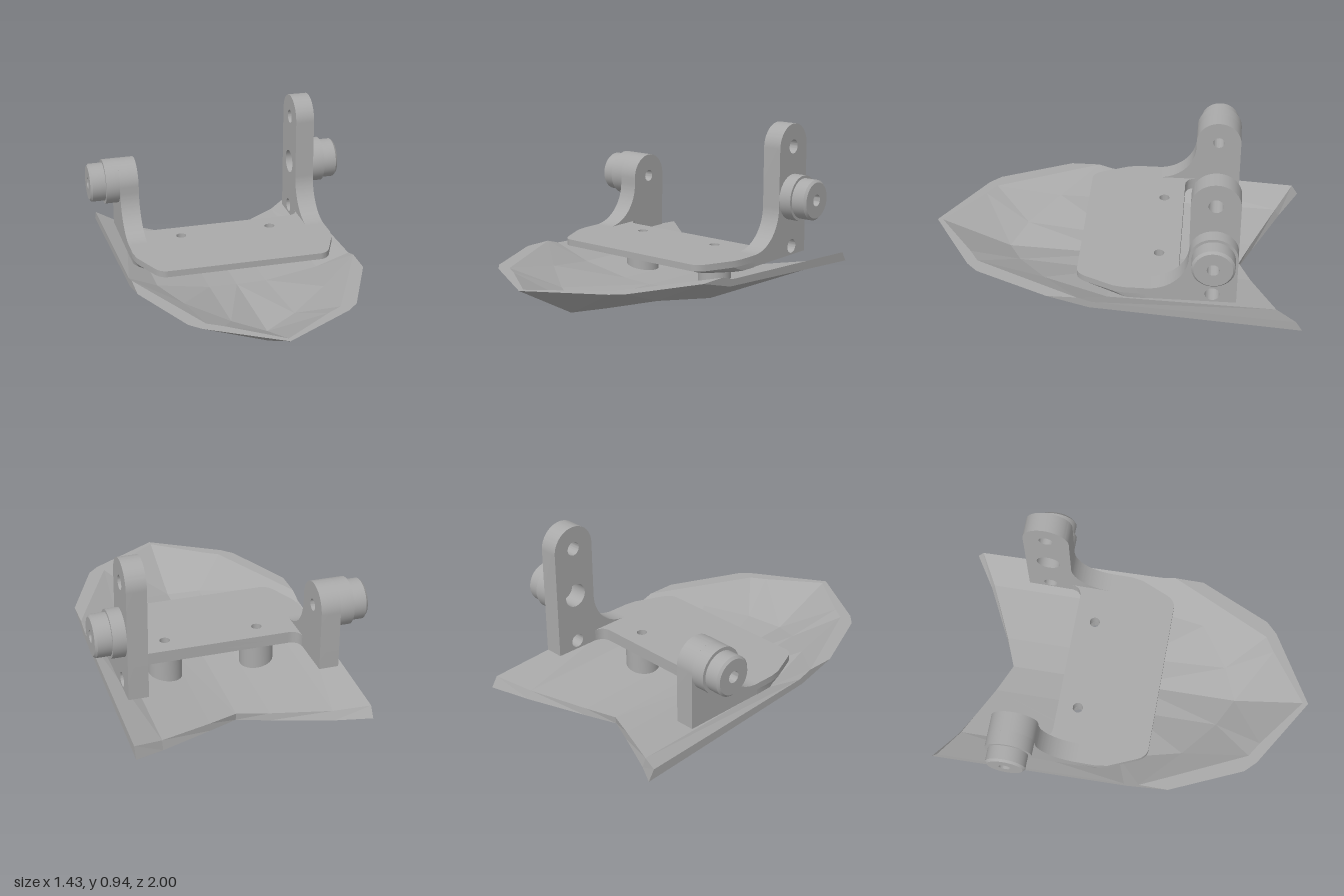
import * as THREE from 'three';
import { toCreasedNormals } from 'three/addons/utils/BufferGeometryUtils.js';

const grey = new THREE.MeshStandardMaterial({ color: 0xa9a9a9 });
grey.name = 'grey';

const HOLE_X = 0.255, HOLE_Z = -0.24;

function addMesh(parent, name, geometry) {
  const mesh = new THREE.Mesh(toCreasedNormals(geometry, 0.5), grey);
  mesh.name = name;
  parent.add(mesh);
  return mesh;
}

function circle(x, y, r) {
  return new THREE.Path().absarc(x, y, r, 0, Math.PI * 2, true);
}

// Faceted dish: rows run back to front, columns from keel to side edge
const OUTER = [
  [[0, 0, -0.665], [0.16, 0.012, -0.74], [0.45, 0.05, -0.89], [0.615, 0.10, -1]],
  [[0, 0.022, 0], [0.16, 0.035, 0.03], [0.45, 0.078, 0.05], [0.615, 0.18, 0.1]],
  [[0, 0.045, 0.63], [0.18, 0.085, 0.55], [0.4, 0.135, 0.42], [0.615, 0.24, 0.32]],
  [[0, 0.24, 1], [0.38, 0.24, 0.77], [0.44, 0.24, 0.71], [0.57, 0.24, 0.42]],
];
const INNER = [
  [[0, 0.04, -0.67], [0.16, 0.052, -0.735], [0.45, 0.095, -0.87], [0.615, 0.155, -0.965]],
  [[0, 0.062, 0], [0.16, 0.075, 0.02], [0.45, 0.122, 0.02], [0.615, 0.215, 0.08]],
  [[0, 0.085, 0.6], [0.17, 0.125, 0.52], [0.38, 0.175, 0.36], [0.615, 0.24, 0.16]],
  [[0, 0.24, 0.97], [0.27, 0.24, 0.77], [0.35, 0.24, 0.72], [0.54, 0.24, 0.32]],
];

function shellGeometry() {
  const pos = [];
  const tri = (a, b, c) => {
    pos.push(...a, ...b, ...c);
    for (const p of [a, c, b]) pos.push(-p[0], p[1], p[2]); // mirrored half
  };
  const quad = (a, b, c, d) => { tri(a, b, c); tri(a, c, d); };

  // Cell pierced by a round bolt hole; returns the rim of the hole
  const piercedCell = (a, b, c, d, up) => {
    const V = (p) => new THREE.Vector3(...p);
    const plane = new THREE.Plane().setFromCoplanarPoints(V(a), V(b), V(d));
    const n = plane.normal;
    const rim = [];
    for (let i = 0; i < 24; i++) {
      const t = (i / 24) * Math.PI * 2;
      const x = HOLE_X + 0.07 * Math.cos(t), z = HOLE_Z + 0.07 * Math.sin(t);
      rim.push([x, -(plane.constant + n.x * x + n.z * z) / n.y, z]);
    }
    const flat = (list) => list.map((p) => new THREE.Vector2(p[0], p[2]));
    const all = [a, b, c, d, ...rim];
    for (const f of THREE.ShapeUtils.triangulateShape(flat([a, b, c, d]), [flat(rim)])) {
      const [p, q, r] = f.map((i) => all[i]);
      const ny = (q[2] - p[2]) * (r[0] - p[0]) - (q[0] - p[0]) * (r[2] - p[2]);
      if ((ny > 0) === up) tri(p, q, r); else tri(p, r, q);
    }
    return rim;
  };

  const rims = [OUTER, INNER].map((g, side) => {
    let rim;
    for (let r = 0; r < 3; r++) for (let c = 0; c < 3; c++) {
      const cell = [g[r][c], g[r + 1][c], g[r + 1][c + 1], g[r][c + 1]];
      if (r === 0 && c === 1) rim = piercedCell(...cell, side === 1);
      else if (side === 1) quad(...cell);
      else quad(cell[0], cell[3], cell[2], cell[1]);
    }
    return rim;
  });

  // Edge faces: back notch, sides, front rim, bolt hole wall
  for (let i = 0; i < 3; i++) {
    quad(OUTER[0][i], INNER[0][i], INNER[0][i + 1], OUTER[0][i + 1]);
    quad(OUTER[i][3], INNER[i][3], INNER[i + 1][3], OUTER[i + 1][3]);
    quad(OUTER[3][i], OUTER[3][i + 1], INNER[3][i + 1], INNER[3][i]);
  }
  const [o, n] = rims;
  o.forEach((p, i) => { const j = (i + 1) % 24; quad(o[j], n[j], n[i], p); });

  const g = new THREE.BufferGeometry();
  g.setAttribute('position', new THREE.Float32BufferAttribute(pos, 3));
  return g;
}

// Mounting plate, drawn in x and -z, extruded upwards
function plateGeometry(y, height) {
  const s = new THREE.Shape();
  s.moveTo(-0.42, -0.18);
  s.lineTo(0.42, -0.18);
  s.quadraticCurveTo(0.46, -0.18, 0.485, -0.13);
  s.lineTo(0.55, 0.02);
  s.lineTo(0.56, 0.08);
  s.lineTo(0.56, 0.19);
  s.lineTo(0.455, 0.19);
  s.lineTo(0.455, 0.405);
  s.quadraticCurveTo(0.45, 0.35, 0.39, 0.35);
  s.lineTo(-0.39, 0.35);
  s.quadraticCurveTo(-0.45, 0.35, -0.455, 0.405);
  s.lineTo(-0.455, 0.19);
  s.lineTo(-0.56, 0.19);
  s.lineTo(-0.56, 0.08);
  s.lineTo(-0.55, 0.02);
  s.lineTo(-0.485, -0.13);
  s.quadraticCurveTo(-0.46, -0.18, -0.42, -0.18);
  for (const x of [-HOLE_X, HOLE_X]) s.holes.push(circle(x, -HOLE_Z, 0.028));
  const g = new THREE.ExtrudeGeometry(s, { depth: height, bevelEnabled: false, curveSegments: 10 });
  return g.rotateX(-Math.PI / 2).translate(0, y, 0);
}

// Upright arm with a fillet into the plate, drawn in -z and y
function armGeometry(x, top, holes) {
  const s = new THREE.Shape();
  s.moveTo(0.19, 0.217);
  s.lineTo(0.655, 0.217);
  s.lineTo(0.655, top - 0.125);
  s.absarc(0.53, top - 0.125, 0.125, 0, Math.PI, false);
  s.lineTo(0.405, 0.495);
  s.absarc(0.19, 0.495, 0.215, 0, -Math.PI / 2, true);
  for (const [y, r] of holes) s.holes.push(circle(0.53, y, r));
  const g = new THREE.ExtrudeGeometry(s, { depth: 0.105, bevelEnabled: false, curveSegments: 20 });
  return g.rotateY(Math.PI / 2).translate(x, 0, 0);
}

function lathe(points) {
  return new THREE.LatheGeometry(points.map((p) => new THREE.Vector2(...p)), 40);
}

// Stepped hub with a chamfered end and a through hole
function hubGeometry(collar, length, r) {
  return lathe([[0.032, 0], [0.125, 0], [0.125, collar], [r, collar], [r, length - 0.012],
    [r - 0.012, length], [0.032, length], [0.032, 0]]);
}

export function createModel() {
  const model = new THREE.Group();
  model.name = 'guardPlateWithBracket';

  const shell = new THREE.Mesh(shellGeometry(), grey);
  shell.geometry.computeVertexNormals();
  shell.name = 'shell';
  model.add(shell);

  const bracket = new THREE.Group();
  bracket.name = 'bracket';
  model.add(bracket);
  addMesh(bracket, 'plate', plateGeometry(0.245, 0.035));

  // Lower layer tapers inwards at the front
  const taper = plateGeometry(0.215, 0.03);
  const p = taper.attributes.position;
  for (let i = 0; i < p.count; i++) {
    if (p.getY(i) > 0.23) continue;
    const k = THREE.MathUtils.clamp((p.getZ(i) + 0.1) / 0.28, 0, 1);
    p.setXYZ(i, p.getX(i) * (1 - 0.08 * k), p.getY(i), p.getZ(i) - 0.09 * k);
  }
  addMesh(bracket, 'plateUnderside', taper);

  // Hollow bolt posts between plate and shell
  for (const x of [-HOLE_X, HOLE_X]) {
    addMesh(bracket, 'boltPost', lathe([[0.07, 0.06], [0.09, 0.06], [0.09, 0.22], [0.07, 0.22], [0.07, 0.06]]))
      .position.set(x, 0, HOLE_Z);
  }

  addMesh(bracket, 'leftArm', armGeometry(0.455, 0.94, [[0.815, 0.038], [0.54, 0.065], [0.265, 0.038]]));
  addMesh(bracket, 'rightArm', armGeometry(-0.56, 0.655, [[0.53, 0.032]]));

  const leftHub = addMesh(bracket, 'leftHub', hubGeometry(0.07, 0.155, 0.11));
  leftHub.position.set(0.56, 0.54, -0.53);
  leftHub.rotation.z = -Math.PI / 2;
  const rightHub = addMesh(bracket, 'rightHub', hubGeometry(0.075, 0.16, 0.107));
  rightHub.position.set(-0.56, 0.53, -0.53);
  rightHub.rotation.z = Math.PI / 2;

  return model;
}
